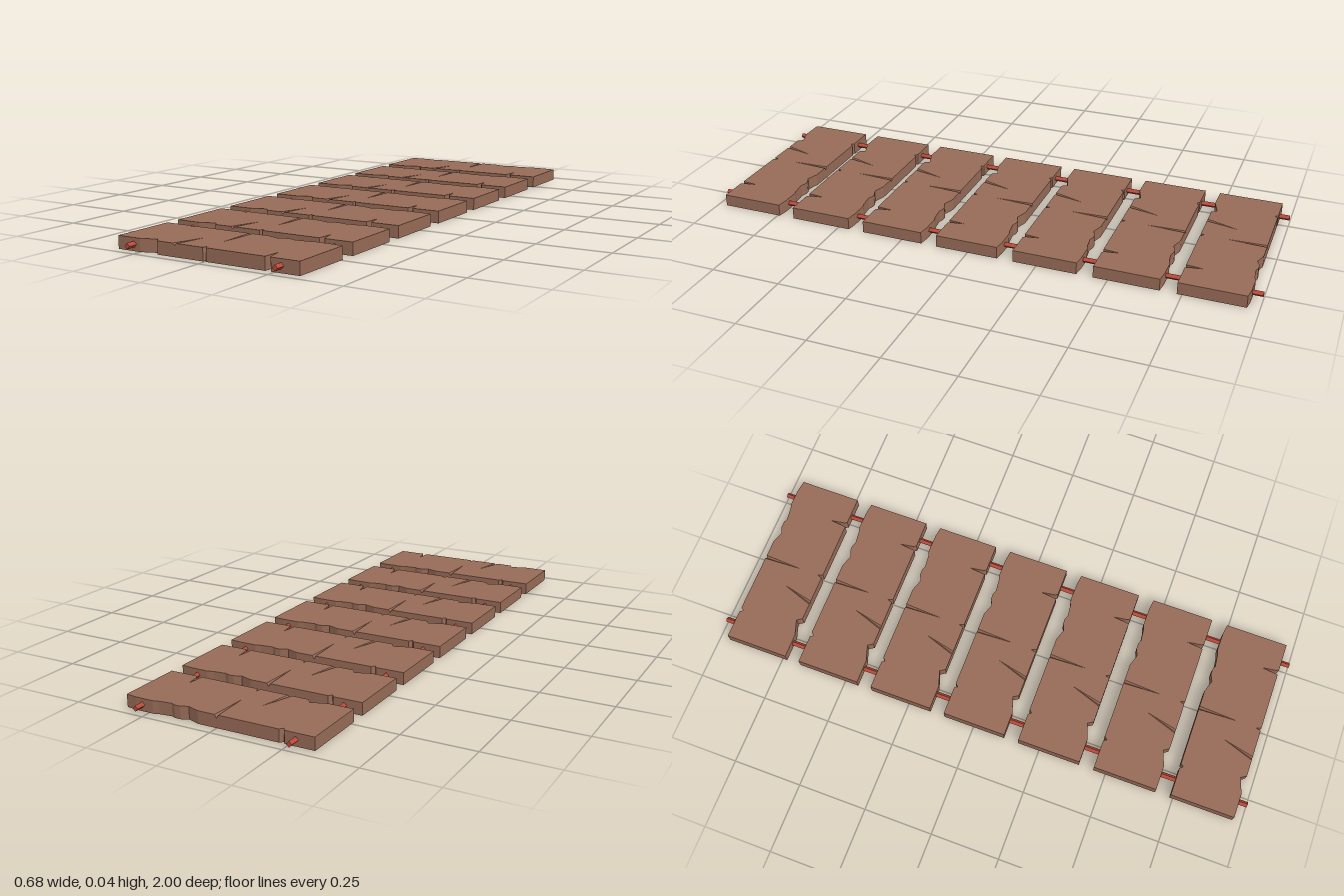
import * as THREE from 'three';
import { mergeGeometries } from 'three/addons/utils/BufferGeometryUtils.js';

const H = 0.043; // plank thickness
const F = 0.115; // half plank width

// Plank rim, front edge left to right, then back edge right to left: [x, z].
// A V-shaped crack in the upper face is an object: mouth a-b, tip and depth.
const rim = [
  [-0.338, F], [-0.25, F], [-0.194, 0.096], [-0.182, F],
  { a: [-0.121, F], b: [-0.107, F], tip: [-0.082, 0.002], depth: 0.007 },
  [-0.007, F], [-0.002, 0.098], [0.005, F],
  [0.218, F], [0.224, 0.055], [0.232, F - 0.008], [0.238, F], [0.338, F],
  [0.338, -0.111], [0.3, -0.116], [0.235, -0.117], [0.215, -0.111], [0.17, -0.106],
  [0.155, -0.112], [0.135, -0.112], [0.11, -0.101], [0.068, -F],
  { a: [0.006, -F], b: [-0.007, -F], tip: [-0.001, 0.022], depth: 0.012 },
  [-0.218, -F], [-0.228, -0.104], [-0.236, -F], [-0.338, -F],
];

function createPlankGeometry() {
  const wall = []; // [x, z, height of the upper edge]
  const top = [];
  const tris = [];
  for (const p of rim) {
    if (Array.isArray(p)) {
      wall.push([...p, H]);
      top.push(p);
      continue;
    }
    const { a, b, tip, depth } = p;
    const m = [(a[0] + b[0]) / 2, (a[1] + b[1]) / 2];
    wall.push([...a, H], [...m, H - depth], [...b, H]);
    top.push(a, tip, b);
    const [A, M, B, T] = [[a, H], [m, H - depth], [b, H], [tip, H]].map(([q, y]) => [q[0], y, q[1]]);
    tris.push(...A, ...M, ...T, ...M, ...B, ...T);
  }
  // Side walls
  wall.forEach(([x, z, h], i) => {
    const [x2, z2, h2] = wall[(i + 1) % wall.length];
    tris.push(x, 0, z, x2, 0, z2, x2, h2, z2, x, 0, z, x2, h2, z2, x, h, z);
  });
  const sides = new THREE.BufferGeometry();
  sides.setAttribute('position', new THREE.Float32BufferAttribute(tris, 3));
  sides.computeVertexNormals();

  // Upper and lower faces
  const face = (pts, sign) => {
    const shape = new THREE.Shape(pts.map(([x, z]) => new THREE.Vector2(x, -sign * z)));
    const g = new THREE.ShapeGeometry(shape).rotateX(-sign * Math.PI / 2).toNonIndexed();
    g.deleteAttribute('uv');
    return g;
  };
  const upper = face(top, 1).translate(0, H, 0);
  const lower = face(wall, -1);
  return mergeGeometries([sides, upper, lower]);
}

export function createModel() {
  const model = new THREE.Group();
  model.name = 'plankBridge';
  const wood = new THREE.MeshStandardMaterial({ color: 0x976b57, flatShading: true });
  const cord = new THREE.MeshStandardMaterial({ color: 0xb84a3a, flatShading: true });

  // Seven identical cracked planks
  const plankGeometry = createPlankGeometry();
  for (let i = 0; i < 7; i++) {
    const plank = new THREE.Mesh(plankGeometry, wood);
    plank.name = `plank${i + 1}`;
    plank.position.z = 0.0025 + (i - 3) * 0.2835;
    model.add(plank);
  }

  // Two four-sided ropes threaded through the planks
  const ropeGeometry = new THREE.CylinderGeometry(0.01, 0.01, 2, 4).rotateX(Math.PI / 2);
  for (const side of [-1, 1]) {
    const rope = new THREE.Mesh(ropeGeometry, cord);
    rope.name = side > 0 ? 'leftRope' : 'rightRope';
    rope.position.set(side * 0.274, 0.022, 0);
    model.add(rope);
  }
  return model;
}
